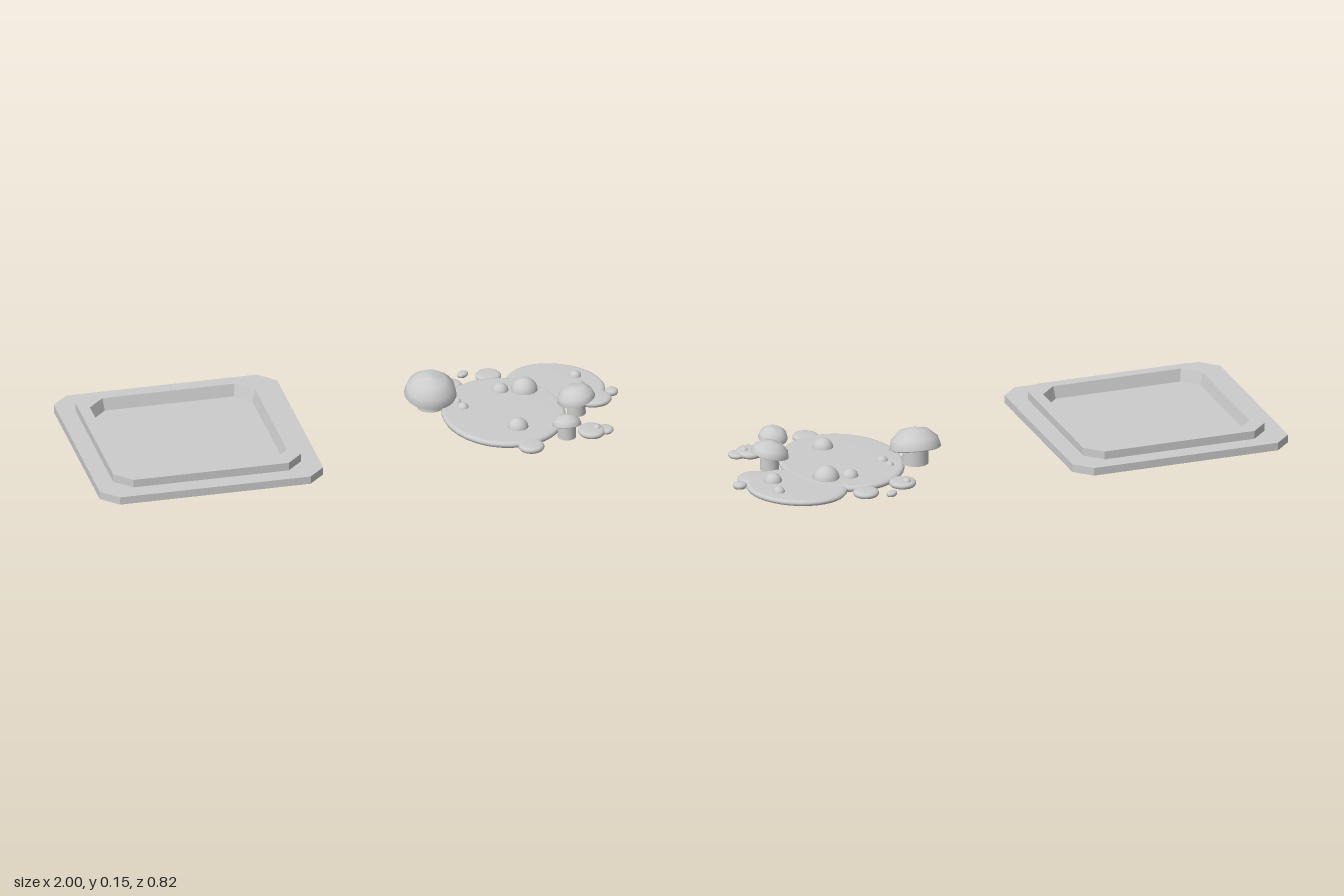
import * as THREE from 'three';

const material = new THREE.MeshStandardMaterial({ color: 0xcccccc, side: THREE.DoubleSide });

function add(parent, name, geometry, x, y, z) {
  const mesh = new THREE.Mesh(geometry, material);
  mesh.name = name;
  mesh.position.set(x, y, z);
  parent.add(mesh);
  return mesh;
}

// Square with cut corners, counter-clockwise seen from above
function cutSquare(h, c, y) {
  const k = h - c;
  return [[h, -k], [h, k], [k, h], [-k, h], [-h, k], [-h, -k], [-k, -h], [k, -h]]
    .map(([x, v]) => new THREE.Vector3(x, y, -v));
}

// Stepped sheet joining successive cut-corner squares, closed by a floor
function trayGeometry(steps) {
  const loops = steps.map(([h, y, c]) => cutSquare(h, c, y));
  const points = [];
  for (let i = 0; i < loops.length - 1; i++) {
    const a = loops[i], b = loops[i + 1];
    for (let j = 0; j < 8; j++) {
      const n = (j + 1) % 8;
      points.push(a[j], a[n], b[n], a[j], b[n], b[j]);
    }
  }
  const floor = loops[loops.length - 1];
  for (let j = 1; j < 7; j++) points.push(floor[0], floor[j], floor[j + 1]);
  const geometry = new THREE.BufferGeometry().setFromPoints(points);
  geometry.computeVertexNormals();
  return geometry;
}

// Flat pad with a rounded rim, stretched to an ellipse
function addPad(parent, x, z, rx, rz, height = 0.022, turn = 0) {
  const e = Math.min(0.014 / Math.min(rx, rz), 0.5);
  const profile = [
    [0, 0], [1 - e * 0.3, 0], [1, 0.3], [1, 0.6], [1 - e * 0.3, 0.85], [1 - e, 1], [0, 1],
  ].map(([r, y]) => new THREE.Vector2(r, y * height));
  const pad = add(parent, 'pad', new THREE.LatheGeometry(profile, 40), x, 0, z);
  pad.scale.set(rx, 1, rz);
  pad.rotation.y = turn;
}

// Stem with a tilted, faceted-profile dome cap
function addMushroom(parent, { x, z, r, rimY, height, stemR, stemY, tiltX, tiltZ }) {
  const group = new THREE.Group();
  group.name = 'mushroom';
  group.position.set(x, 0, z);
  const stemTop = rimY + height * 0.2;
  add(group, 'stem', new THREE.CylinderGeometry(stemR * 0.95, stemR, stemTop - stemY, 24),
    0, (stemTop + stemY) / 2, 0);
  const profile = [[0, 0.1], [0.92, 0], [1, 0.06], [0.9, 0.5], [0.55, 0.88], [0, 1]]
    .map(([a, b]) => new THREE.Vector2(a * r, b * height));
  const cap = add(group, 'cap', new THREE.LatheGeometry(profile, 32), 0, rimY, 0);
  cap.rotation.set(tiltX, 0, tiltZ);
  parent.add(group);
}

export function createModel() {
  const model = new THREE.Group();
  model.name = 'trayAndMushroomPatch';

  // Tray: skirt, ledge, raised rim and recessed floor
  add(model, 'tray', trayGeometry([
    [0.41, 0.013, 0.06], [0.41, 0.042, 0.06],
    [0.345, 0.042, 0.06], [0.345, 0.072, 0.06],
    [0.303, 0.072, 0.06], [0.292, 0.027, 0.055],
  ]), -0.59, 0, 0);

  const patch = new THREE.Group();
  patch.name = 'mushroomPatch';
  model.add(patch);

  // Ground pads: x, z, radii, height, turn
  [
    [0.56, 0.025, 0.22, 0.264, 0.022],
    [0.79, -0.14, 0.185, 0.155, 0.02, -0.75],
    [0.42, -0.227, 0.048, 0.048, 0.02],
    [0.49, -0.307, 0.023, 0.016, 0.016, 0.6],
    [0.575, -0.27, 0.046, 0.046, 0.02],
    [0.596, 0.302, 0.046, 0.046, 0.021],
    [0.833, 0.235, 0.048, 0.053, 0.021],
    [0.883, 0.232, 0.03, 0.032, 0.017],
    [0.9, -0.01, 0.064, 0.058, 0.02],
    [0.974, -0.05, 0.025, 0.024, 0.02],
  ].forEach((p) => addPad(patch, ...p));

  // Round buttons sitting on the pads: x, z, radius
  [
    [0.41, -0.243, 0.016], [0.425, -0.03, 0.021], [0.415, -0.08, 0.016],
    [0.585, -0.13, 0.031], [0.67, -0.115, 0.049], [0.873, -0.18, 0.022],
    [0.858, -0.077, 0.033], [0.58, 0.163, 0.038], [0.853, 0.235, 0.014],
  ].forEach(([x, z, r]) => add(patch, 'button',
    new THREE.SphereGeometry(r, 20, 8, 0, Math.PI * 2, 0, Math.PI / 2), x, 0.017, z));

  // Mushrooms
  addMushroom(patch, { x: 0.315, z: -0.073, r: 0.094, rimY: 0.066, height: 0.08, stemR: 0.048, stemY: 0.015, tiltX: 0.25, tiltZ: 0 });
  addMushroom(patch, { x: 0.816, z: 0.073, r: 0.069, rimY: 0.058, height: 0.053, stemR: 0.034, stemY: 0.003, tiltX: 0, tiltZ: 0.22 });
  addMushroom(patch, { x: 0.74, z: 0.245, r: 0.053, rimY: 0.047, height: 0.042, stemR: 0.033, stemY: 0.003, tiltX: -0.26, tiltZ: 0 });

  return model;
}
